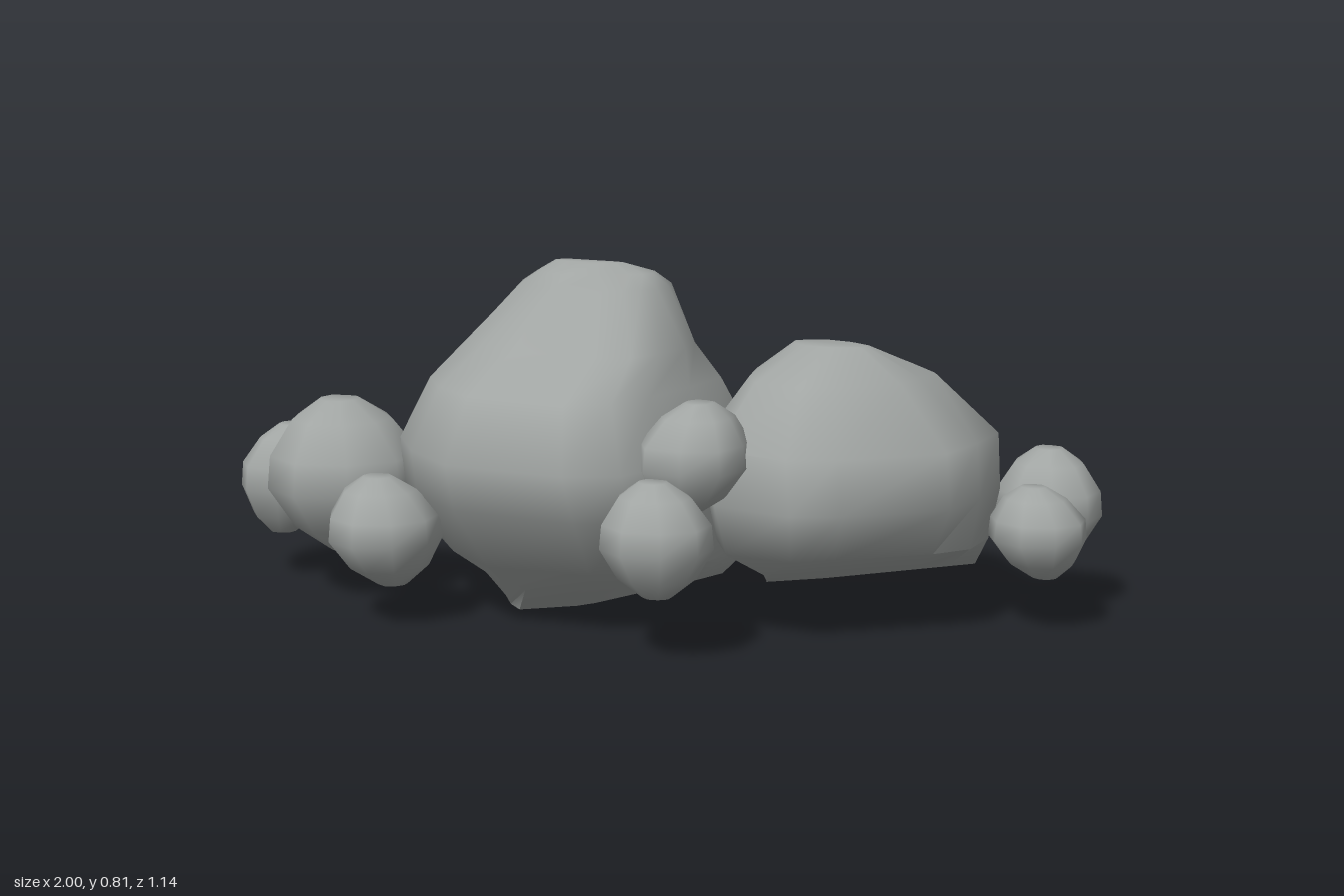
import * as THREE from 'three';
import { toCreasedNormals } from 'three/addons/utils/BufferGeometryUtils.js';

const material = new THREE.MeshStandardMaterial({ color: 0xa1a5a3 });

// Lofts a plan outline (points ordered from +x towards +z) through levels
// [y, xMin, xMax, zMin, zMax, back, front]; the outline is fitted to the box of
// each level. The optional last two chip the corners: x - z <= back, x + z <= front.
function loftBoulder(name, plan, levels) {
  const box = new THREE.Box2().setFromPoints(plan.map(([x, z]) => new THREE.Vector2(x, z)));
  const size = box.getSize(new THREE.Vector2());
  const n = plan.length;
  const positions = [];
  const index = [];
  for (const [y, x0, x1, z0, z1, back = 9, front = 9] of levels) {
    for (const [px, pz] of plan) {
      const x = x0 + (x1 - x0) * (px - box.min.x) / size.x;
      const z = z0 + (z1 - z0) * (pz - box.min.y) / size.y;
      const chipBack = Math.max(0, x - z - back) / 2;
      const chipFront = Math.max(0, x + z - front) / 2;
      positions.push(x - chipBack - chipFront, y, z + chipBack - chipFront);
    }
  }
  for (let i = 0; i < levels.length - 1; i++) {
    for (let j = 0; j < n; j++) {
      const a = i * n + j;
      const b = i * n + (j + 1) % n;
      index.push(a, a + n, b, b, a + n, b + n);
    }
  }
  // Bottom and top caps
  const top = (levels.length - 1) * n;
  for (let j = 1; j < n - 1; j++) {
    index.push(0, j, j + 1, top, top + j + 1, top + j);
  }
  const geometry = new THREE.BufferGeometry();
  geometry.setAttribute('position', new THREE.Float32BufferAttribute(positions, 3));
  geometry.setIndex(index);
  const mesh = new THREE.Mesh(toCreasedNormals(geometry, 1.1), material);
  mesh.name = name;
  return mesh;
}

// Small stones share one chipped, slightly squared outline, turned differently each time
function smallStone(name, [x0, x1], [y0, y1], [z0, z1], turn) {
  const radii = [1, 0.94, 1.03, 0.95, 1, 1.04, 0.93, 1, 0.97];
  const plan = radii.map((r, i) => {
    const a = turn + i / radii.length * Math.PI * 2;
    const c = Math.cos(a), s = Math.sin(a);
    const square = (Math.abs(c) ** 2.4 + Math.abs(s) ** 2.4) ** (-1 / 2.4);
    return [r * square * c, r * square * s];
  });
  // [height fraction, width fraction, sideways lean]
  const profile = [[0, 0.26, 0.25], [0.16, 0.69, 0.12], [0.42, 1, 0], [0.64, 0.96, 0], [0.87, 0.64, -0.1], [1, 0.26, -0.15]];
  const cx = (x0 + x1) / 2, cz = (z0 + z1) / 2;
  const hx = (x1 - x0) / 2, hz = (z1 - z0) / 2;
  const levels = profile.map(([h, w, lean]) => {
    const sx = cx + lean * hx * Math.cos(turn * 3);
    const sz = cz + lean * hz * Math.sin(turn * 3);
    return [y0 + (y1 - y0) * h, sx - hx * w, sx + hx * w, sz - hz * w, sz + hz * w];
  });
  return loftBoulder(name, plan, levels);
}

export function createModel() {
  const group = new THREE.Group();
  group.name = 'boulderCluster';

  // Tall central boulder with a narrow crown, steep on its back corner
  group.add(loftBoulder('mainBoulder',
    [[0.25, 0.05], [0.24, 0.25], [0.21, 0.4], [0.1, 0.47], [-0.2, 0.49], [-0.37, 0.39], [-0.5, 0.26],
      [-0.57, 0.08], [-0.55, -0.12], [-0.48, -0.33], [-0.2, -0.36], [0.05, -0.39], [0.18, -0.35], [0.24, -0.15]],
    [
      [0.005, -0.3, -0.08, -0.08, 0.2, 0, 0],
      [0.075, -0.4, 0.18, -0.24, 0.27, 0.36, 0.14],
      [0.15, -0.5, 0.24, -0.37, 0.38, 0.5, 0.41],
      [0.29, -0.57, 0.25, -0.39, 0.46, 0.45, 0.6],
      [0.4, -0.55, 0.24, -0.38, 0.5, 0.38],
      [0.54, -0.48, 0.17, -0.31, 0.42, 0.27],
      [0.62, -0.44, 0.13, -0.24, 0.25, 0.19],
      [0.755, -0.29, 0.07, -0.1, 0.16, 0.14, 0.13],
      [0.785, -0.24, 0.04, -0.06, 0.13, 0.1, 0.05],
      [0.81, -0.19, -0.01, 0.02, 0.08, 0, 0],
    ]));

  // Wide lower boulder beside it
  group.add(loftBoulder('sideBoulder',
    [[0.79, -0.18], [0.78, -0.03], [0.6, 0.16], [0.5, 0.22], [0.3, 0.2], [0.2, 0.06], [0.14, -0.1],
      [0.12, -0.25], [0.18, -0.38], [0.36, -0.57], [0.57, -0.53], [0.78, -0.33]],
    [
      [0.09, 0.31, 0.46, -0.14, 0, 9, 0.3],
      [0.13, 0.26, 0.76, -0.42, 0.1, 9, 0.45],
      [0.2, 0.18, 0.78, -0.47, 0.21, 9, 0.68],
      [0.31, 0.14, 0.79, -0.53, 0.22],
      [0.43, 0.13, 0.77, -0.57, 0.21],
      [0.565, 0.23, 0.63, -0.43, 0.07],
      [0.64, 0.35, 0.53, -0.16, -0.05],
    ]));

  // Blocky stone at the back
  group.add(loftBoulder('backRightStone',
    [[-0.37, -0.2], [-0.45, -0.1], [-0.66, -0.11], [-0.75, -0.18], [-0.75, -0.37], [-0.57, -0.48], [-0.39, -0.45]],
    [
      [0.06, -0.6, -0.43, -0.42, -0.28],
      [0.11, -0.71, -0.39, -0.45, -0.18],
      [0.25, -0.75, -0.37, -0.48, -0.11],
      [0.34, -0.7, -0.39, -0.45, -0.14],
      [0.43, -0.6, -0.45, -0.33, -0.2],
    ]));

  // Loose stones around the edges: name, x range, y range, z range, turn
  const stones = [
    ['rightStone', [-0.84, -0.47], [0.12, 0.47], [0.08, 0.45], 0.2],
    ['outerRightStone', [-1, -0.76], [0.12, 0.38], [0.08, 0.31], 0.5],
    ['frontRightStone', [-0.54, -0.28], [0.1, 0.34], [0.31, 0.57], 0.1],
    ['upperFrontStone', [0.16, 0.4], [0.3, 0.54], [0.11, 0.36], 0.6],
    ['lowerFrontStone', [0.15, 0.4], [0.15, 0.39], [0.28, 0.51], 0.3],
    ['backLeftStone', [0.71, 0.96], [0.12, 0.38], [-0.57, -0.33], 0.45],
    ['outerLeftStone', [0.78, 1], [0.13, 0.33], [-0.36, -0.15], 0.15],
  ];
  for (const stone of stones) group.add(smallStone(...stone));

  return group;
}
